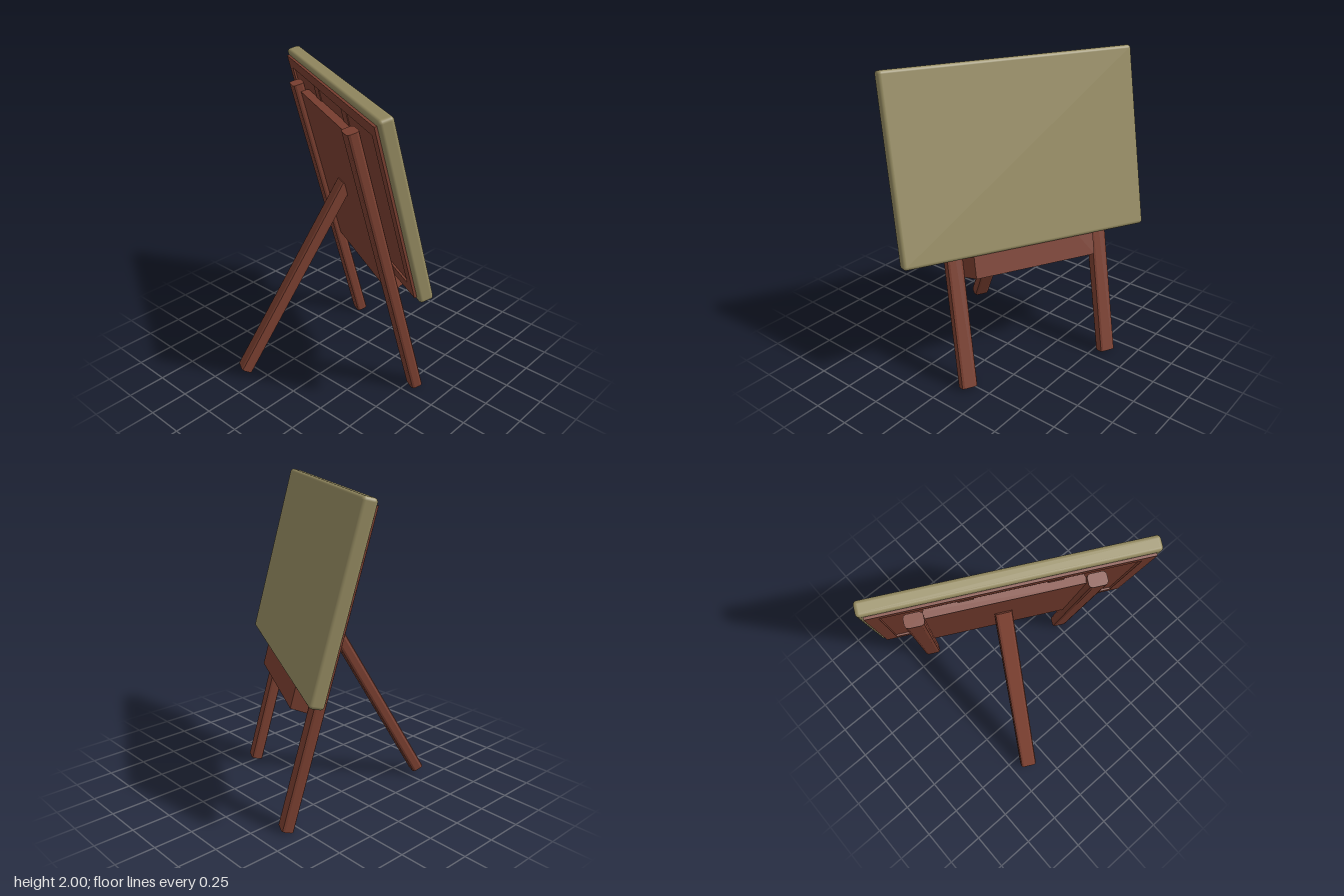
import * as THREE from 'three';
import { RoundedBoxGeometry } from 'three/addons/geometries/RoundedBoxGeometry.js';

const wood = new THREE.MeshStandardMaterial({ color: 0x7c4031, flatShading: true });
const cloth = new THREE.MeshStandardMaterial({ color: 0x958b61 });

// Upright prism: outline in (x, z), extruded along +y from 0
function prism(outline, height) {
  const shape = new THREE.Shape(outline.map(([x, z]) => new THREE.Vector2(x, -z)));
  const g = new THREE.ExtrudeGeometry(shape, { depth: height, bevelEnabled: false });
  return g.rotateX(-Math.PI / 2);
}

// Rectangle with softened corners, for the legs
function legOutline(w, d, c) {
  const x = w / 2, z = d / 2, k = c * 0.3;
  const corner = [[x, z - c], [x - k, z - k], [x - c, z]];
  const flip = (sx, sz, rev) => {
    const pts = corner.map(([a, b]) => [a * sx, b * sz]);
    return rev ? pts.reverse() : pts;
  };
  return [...flip(1, 1), ...flip(-1, 1, true), ...flip(-1, -1), ...flip(1, -1, true)];
}

function add(parent, name, geometry, material, x = 0, y = 0, z = 0) {
  const mesh = new THREE.Mesh(geometry, material);
  mesh.name = name;
  mesh.position.set(x, y, z);
  parent.add(mesh);
  return mesh;
}

export function createModel() {
  const model = new THREE.Group();
  model.name = 'easel';
  const turned = new THREE.Group();
  turned.name = 'turnedEasel';
  turned.rotation.y = 1.09;
  model.add(turned);

  // Everything but the rear leg leans back together
  const leaning = new THREE.Group();
  leaning.name = 'leaningFrame';
  leaning.position.set(0.078, 0.009, 0.337);
  leaning.rotation.x = -0.249;
  turned.add(leaning);

  // Front legs
  const outline = legOutline(0.11, 0.078, 0.02);
  for (const side of [-1, 1]) {
    add(leaning, side < 0 ? 'rightFrontLeg' : 'leftFrontLeg', prism(outline, 1.87), wood, side * 0.503);
  }

  // Panel between the legs, its thick lower end showing below the canvas
  add(leaning, 'backPanel', prism([
    [-0.46, 0], [-0.45, 0.04], [-0.41, 0.127], [0.41, 0.127], [0.45, 0.04], [0.46, 0],
  ], 1.1), wood, 0, 0.72);

  // Rear prop leg
  const rear = add(turned, 'rearLeg', prism(outline, 1.45), wood, 0.073, 0.04, -0.69);
  rear.rotation.x = Math.atan(0.57);

  // Canvas with its wooden stretcher behind
  const canvas = new THREE.Group();
  canvas.name = 'canvas';
  canvas.position.set(-0.037, 1.44, 0.1);
  leaning.add(canvas);
  const W = 1.635, H = 1.157, bar = 0.07, inset = 0.035;
  add(canvas, 'canvasFace', new RoundedBoxGeometry(W, H, 0.09, 3, 0.022), cloth);
  const w = W - 2 * inset, h = H - 2 * inset;
  add(canvas, 'canvasBack', new THREE.BoxGeometry(w, h, 0.01), wood, 0, 0, -0.043);
  for (const s of [-1, 1]) {
    add(canvas, 'stretcherRail', new THREE.BoxGeometry(w, bar, 0.024), wood, 0, s * (h - bar) / 2, -0.049);
    add(canvas, 'stretcherSide', new THREE.BoxGeometry(bar, h - 2 * bar, 0.024), wood, s * (w - bar) / 2, 0, -0.049);
    add(canvas, 'stretcherBrace', new THREE.BoxGeometry(0.09, h - 2 * bar, 0.012), wood, s * 0.25, 0, -0.047);
  }
  return model;
}
